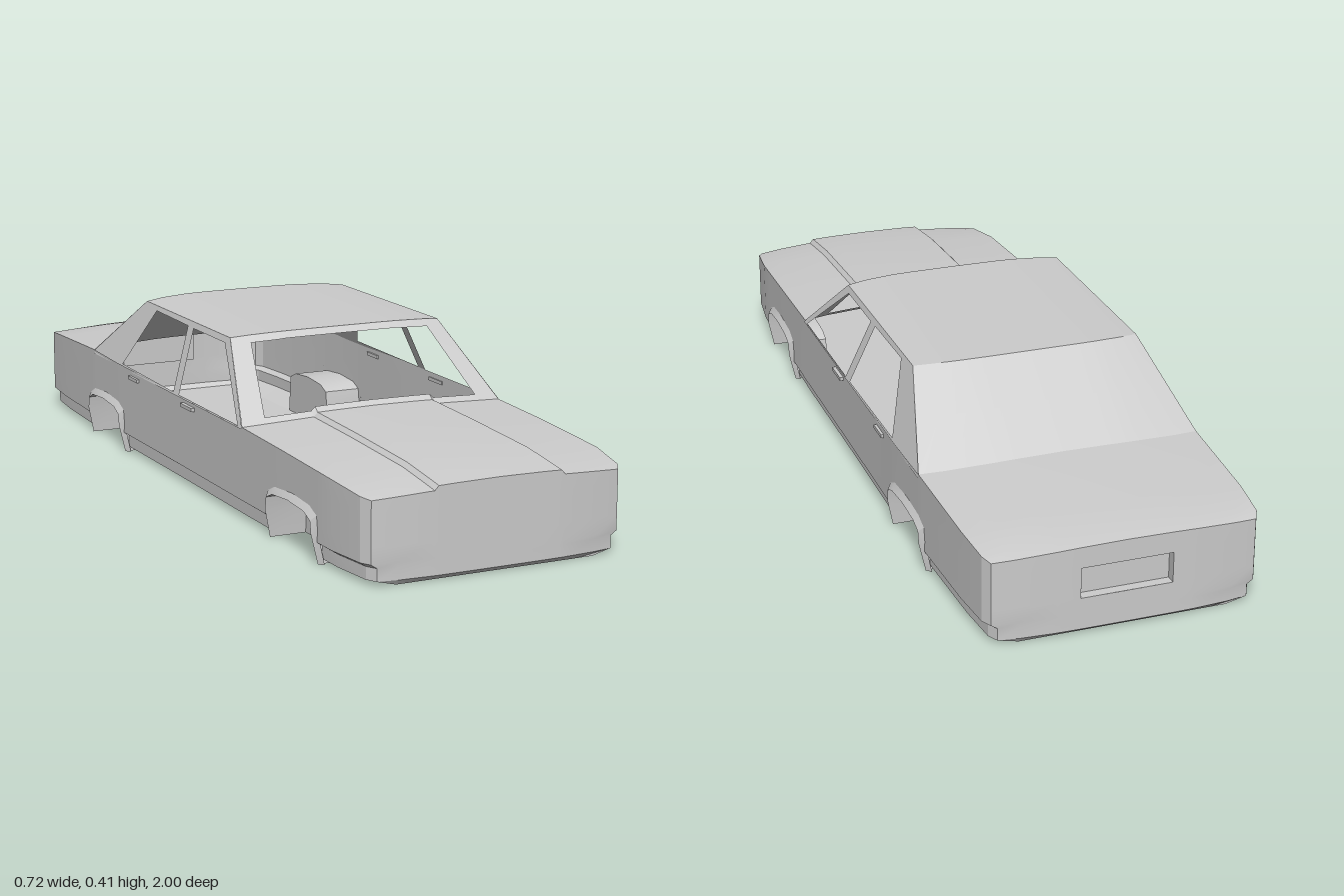
import * as THREE from 'three';
import { toCreasedNormals } from 'three/addons/utils/BufferGeometryUtils.js';

const V = (x, y, z) => new THREE.Vector3(x, y, z);
const lerp = THREE.MathUtils.lerp;
const END = 0.985, WELL = 0.25;

// Body stations from nose to tail: z, half width, shoulder height
const STATIONS = [
  [END, 0.312, 0.195], [0.96, 0.326, 0.2], [0.85, 0.34, 0.213], [0.6, 0.345, 0.224], [0.39, 0.347, 0.23],
  [0, 0.347, 0.23], [-0.4, 0.35, 0.232], [-0.58, 0.348, 0.235], [-0.85, 0.338, 0.222], [-0.96, 0.328, 0.213], [-END, 0.315, 0.206],
];
// Wheel opening: offset along z, height
const ARCH = [[0.122, 0], [0.117, 0.07], [0.112, 0.1], [0.08, 0.114], [0, 0.12], [-0.08, 0.114], [-0.112, 0.1], [-0.117, 0.07], [-0.122, 0]];
const WHEELS = { front: 0.655, rear: -0.49 };
const LEVELS = [0.012, 0.042, 0.052, 0.09, 0.165];

// Piecewise linear lookup in a table whose first column descends
function lookup(table, key, col) {
  for (let i = 0; i < table.length - 1; i++) {
    const a = table[i], b = table[i + 1];
    if (key <= a[0] && key >= b[0]) return lerp(a[col], b[col], (a[0] - key) / (a[0] - b[0]));
  }
  return 0;
}
const halfWidth = z => lookup(STATIONS, z, 1);
const shoulder = z => lookup(STATIONS, z, 2);
const archY = z => Math.max(...Object.values(WHEELS).map(c => lookup(ARCH, z - c, 1)));
const sideX = (y, z) => halfWidth(z) - 0.015 * (1 - THREE.MathUtils.clamp((y - 0.042) / 0.01, 0, 1));
const bow = (x, w) => 1 - (x / w) ** 4;

// Positions across the car, mirrored about the centre line
function across(w) {
  const half = [w, 0.83 * w, 0.165, 0.155, 0.11];
  return [...half.map(x => -x), 0, ...half.reverse()];
}
// Crowned deck height, with the raised middle of the hood
function deckY(x, z) {
  const w = halfWidth(z);
  return shoulder(z) + 0.012 * (1 - (x / w) ** 2) + (z > 0 && Math.abs(x) < 0.16 ? 0.01 : 0);
}
// Points across the deck at one station; the ends bow outward
function deckRow(z) {
  const w = halfWidth(z);
  const bulge = { [END]: 0.015, 0.39: 0.012, '-0.58': -0.02, [-END]: -0.015 }[z] || 0;
  return across(w).map(x => V(x, deckY(x, z), z + bulge * bow(x, w)));
}
// Side section at one station, from the floor edge to the shoulder
function section(z) {
  const low = archY(z);
  const pts = [V(WELL, 0, z)];
  for (const level of [...LEVELS, shoulder(z)]) {
    const y = Math.max(level, low);
    pts.push(V(sideX(y, z), y, z));
  }
  return pts;
}

export function createModel() {
  const car = new THREE.Group();
  car.name = 'carBody';
  const paint = new THREE.MeshStandardMaterial({ color: 0xcccccc, side: THREE.DoubleSide });
  paint.name = 'bodyGrey';

  function add(parent, name, geometry) {
    const mesh = new THREE.Mesh(geometry, paint);
    mesh.name = name;
    parent.add(mesh);
    return mesh;
  }
  // Sheet spanned by rows of points, with optional cells left open
  function sheet(parent, name, rows, skip = () => false) {
    const pos = [];
    const tri = (a, b, c) => {
      const area = b.clone().sub(a).cross(c.clone().sub(a)).length();
      if (area > 1e-9) for (const p of [a, b, c]) pos.push(p.x, p.y, p.z);
    };
    for (let i = 0; i < rows.length - 1; i++) {
      for (let j = 0; j < rows[i].length - 1; j++) {
        if (skip(i, j)) continue;
        const a = rows[i][j], b = rows[i][j + 1], c = rows[i + 1][j + 1], d = rows[i + 1][j];
        tri(a, b, c);
        tri(a, c, d);
      }
    }
    const g = new THREE.BufferGeometry();
    g.setAttribute('position', new THREE.Float32BufferAttribute(pos, 3));
    return add(parent, name, toCreasedNormals(g, 0.35));
  }
  const blend = (a, b, t) => a.map((p, i) => p.clone().lerp(b[i], t));

  // Hood, trunk lid and roof
  const hood = [END, 0.96, 0.85, 0.6, 0.39].map(deckRow);
  const trunk = [-0.58, -0.85, -0.96, -END].map(deckRow);
  const roofRow = (z, bulge) => across(0.285).map(x => V(x, 0.402 + 0.008 * bow(x, 0.285), z + bulge * bow(x, 0.285)));
  const roof = [roofRow(0.185, 0.015), roofRow(-0.08, 0), roofRow(-0.35, -0.025)];
  sheet(car, 'hood', hood);
  sheet(car, 'trunkLid', trunk);
  sheet(car, 'roof', roof);

  // Windshield frame with its opening, and the closed rear window panel
  const cowl = hood[hood.length - 1];
  sheet(car, 'windshieldFrame', [0, 0.07, 0.91, 1].map(t => blend(cowl, roof[0], t)),
    (i, j) => i === 1 && j > 0 && j < 9);
  sheet(car, 'rearWindowPanel', [0, 0.5, 1].map(t => blend(roof[2], trunk[0], t)));

  // Nose and tail, the tail with a recess for the plate
  function endRows(z) {
    const s = section(z);
    return s.map((p, i) => i === s.length - 1 ? deckRow(z)
      : across(p.x).map(x => V(x, p.y, z + (i ? Math.sign(z) * 0.015 * bow(x, p.x) : 0))));
  }
  sheet(car, 'nose', endRows(END));
  sheet(car, 'tail', endRows(-END).reverse(), (i, j) => i === 1 && (j === 4 || j === 5));
  const rim = z => [[-0.11, 0.09], [0.11, 0.09], [0.11, 0.165], [-0.11, 0.165], [-0.11, 0.09]].map(([x, y]) => V(x, y, z));
  const back = rim(-0.975);
  sheet(car, 'plateRecessSides', [rim(-0.9998), back]);
  sheet(car, 'plateRecessBack', [[back[3], back[2]], [back[0], back[1]]]);

  // Floor
  sheet(car, 'floor', [-END, END].map(z => [V(-WELL, 0, z), V(WELL, 0, z)]));

  // Everything on one side, built for +x and mirrored
  const arches = Object.values(WHEELS);
  const columns = [...STATIONS.map(s => s[0]), ...arches.flatMap(c => ARCH.map(a => c + a[0]))]
    .sort((a, b) => b - a);
  const inArch = z => arches.some(c => Math.abs(z - c) < 0.122);

  for (const [label, sign] of [['left', 1], ['right', -1]]) {
    const side = new THREE.Group();
    side.name = label + 'Side';
    side.scale.x = sign;
    car.add(side);

    // Lower side panel with sill and wheel openings
    const sections = columns.map(section);
    const rows = sections[0].map((_, r) => sections.map(s => s[r]));
    sheet(side, 'sidePanel', rows, (i, j) => i === 0 && inArch((columns[j] + columns[j + 1]) / 2));

    // Wheel arch lips and inner wells
    for (const [end, c] of Object.entries(WHEELS)) {
      const loop = (x, grow) => ARCH.map(([dz, y]) => {
        const z = c + dz * (1 + grow * 0.1), h = y * (1 + grow * 0.13);
        return V(x === null ? sideX(h, z) + (grow ? 0 : 0.011) : x, h, z);
      });
      const outer = loop(null, 1), lip = loop(null, 0), inner = loop(WELL, 0);
      sheet(side, end + 'ArchLip', [lip, outer]);
      sheet(side, end + 'WheelWell', [inner, lip]);
      sheet(side, end + 'WellWall', [inner.map(p => V(WELL, 0, p.z)), inner]);
    }

    // Cabin side with two window openings, leaning in toward the roof
    const poly = pts => pts.map(p => new THREE.Vector2(...p));
    const shape = new THREE.Shape(poly([[0.39, 0.226], [0.39, 0.23], [0.185, 0.402], [-0.35, 0.402], [-0.58, 0.235], [-0.58, 0.226]]));
    shape.holes.push(
      new THREE.Path(poly([[0.368, 0.229], [0.01, 0.229], [-0.027, 0.387], [0.165, 0.387]])),
      new THREE.Path(poly([[-0.027, 0.231], [-0.375, 0.235], [-0.272, 0.39], [-0.064, 0.388]])));
    const cabin = new THREE.ShapeGeometry(shape);
    const p = cabin.attributes.position;
    for (let i = 0; i < p.count; i++) {
      const z = p.getX(i), y = p.getY(i);
      p.setXYZ(i, lerp(0.348, 0.285, (y - 0.23) / 0.172), y, z);
    }
    cabin.index.array.reverse();
    cabin.computeVertexNormals();
    add(side, 'cabinSide', cabin);

    // Door handles
    for (const [name, z, len] of [['frontDoorHandle', 0.07, 0.07], ['rearDoorHandle', -0.285, 0.06]]) {
      add(side, name, new THREE.BoxGeometry(0.012, 0.009, len)).position.set(0.35, 0.212, z);
    }
  }
  return car;
}
